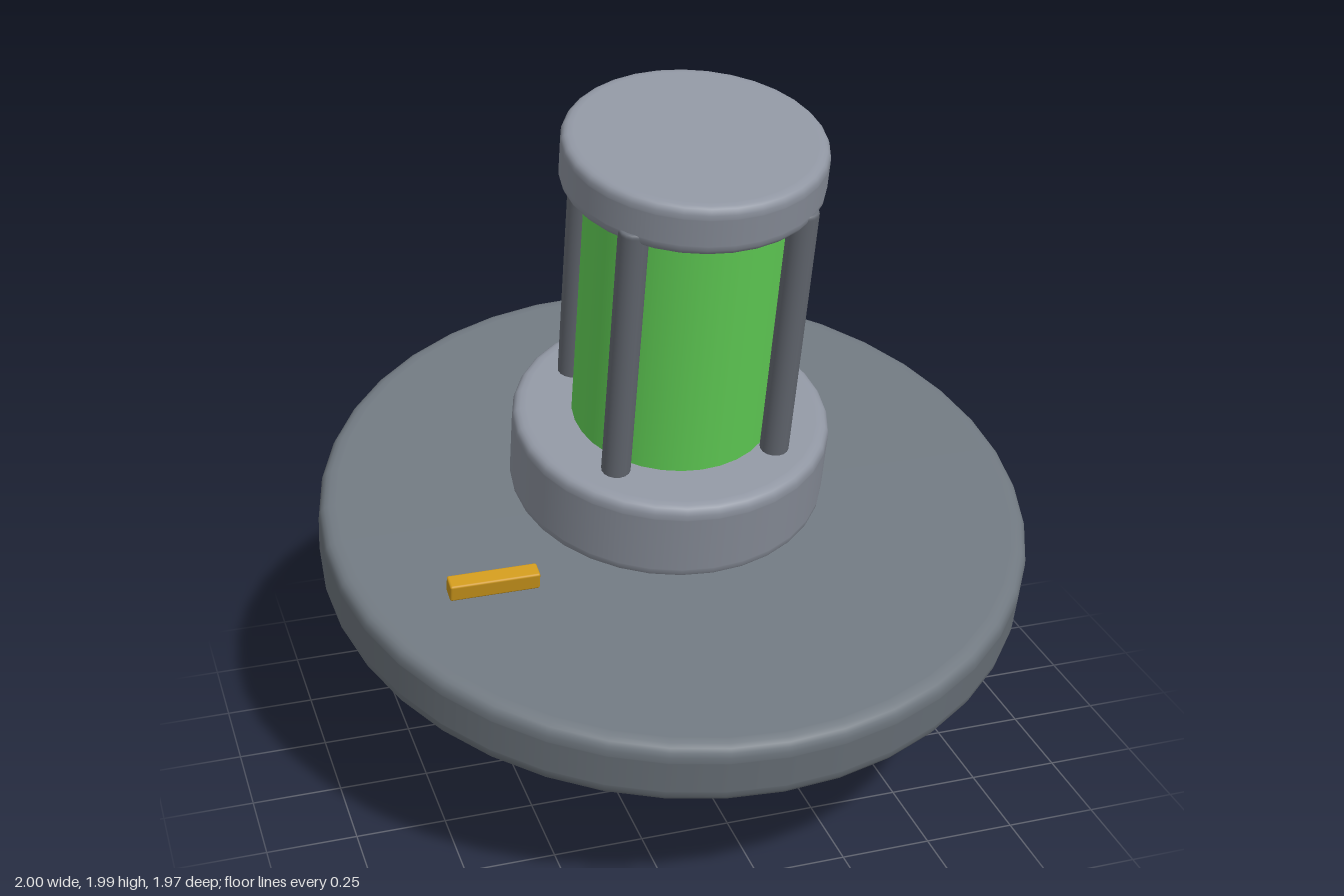
import * as THREE from 'three';
import { RoundedBoxGeometry } from 'three/addons/geometries/RoundedBoxGeometry.js';

const paint = (name, color) => {
  const m = new THREE.MeshStandardMaterial({ color });
  m.name = name;
  return m;
};

// Solid of revolution from corner points [radius, height, fillet], listed bottom to top.
function turned(corners, segments) {
  const pts = [];
  const P = corners.map(([x, y]) => new THREE.Vector2(x, y));
  corners.forEach(([, , fillet], i) => {
    if (!fillet) return pts.push(P[i]);
    const toPrev = P[i - 1].clone().sub(P[i]).normalize();
    const toNext = P[i + 1].clone().sub(P[i]).normalize();
    const at = (dir, d) => P[i].clone().addScaledVector(dir, d);
    // supporting points keep the neighbouring faces evenly shaded
    pts.push(at(toPrev, fillet + 0.003));
    const curve = new THREE.QuadraticBezierCurve(at(toPrev, fillet), P[i], at(toNext, fillet));
    pts.push(...curve.getPoints(5));
    pts.push(at(toNext, fillet + 0.003));
  });
  return new THREE.LatheGeometry(pts, segments);
}

// Straight rounded drum standing between two heights.
const drum = (radius, y0, y1, fillet, segments) =>
  turned([[0, y0], [radius, y0, fillet], [radius, y1, fillet], [0, y1]], segments);

export function createModel() {
  const model = new THREE.Group();
  model.name = 'tiltedBeacon';

  const darkHull = paint('darkHull', 0x30323a);
  const slate = paint('slate', 0x6f777f);
  const paleSteel = paint('paleSteel', 0x8f95a1);
  const strutSteel = paint('strutSteel', 0x686d76);
  const greenGlow = paint('greenGlow', 0x66d95a);
  const amber = paint('amber', 0xcf991c);

  const add = (parent, name, geometry, material, x = 0, y = 0, z = 0) => {
    const mesh = new THREE.Mesh(geometry, material);
    mesh.name = name;
    mesh.position.set(x, y, z);
    parent.add(mesh);
    return mesh;
  };

  // Everything leans forward together
  const body = new THREE.Group();
  body.name = 'body';
  body.rotation.x = THREE.MathUtils.degToRad(14);
  model.add(body);

  // Hull: cone below, wide disc above
  const hull = new THREE.Group();
  hull.name = 'hull';
  hull.position.z = -0.172;
  body.add(hull);
  add(hull, 'lowerCone',
    turned([[0, 0.033], [0.323, 0.033, 0.035], [0.95, 0.58, 0.012], [0.93, 0.6], [0, 0.6]], 48), darkHull);
  add(hull, 'disc', drum(1, 0.59, 0.787, 0.045, 40), slate);
  add(hull, 'amberMarker', new RoundedBoxGeometry(0.245, 0.05, 0.05, 2, 0.006), amber, -0.603, 0.833, 0.298);

  // Turret, set a little behind the disc centre
  const turret = new THREE.Group();
  turret.name = 'turret';
  turret.position.z = -0.272;
  body.add(turret);
  add(turret, 'collar', drum(0.445, 0.77, 1.02, 0.035, 32), paleSteel);
  add(turret, 'glowTube', new THREE.CylinderGeometry(0.28, 0.28, 0.79, 32), greenGlow, 0, 1.395, 0);
  add(turret, 'cap', drum(0.35, 1.766, 1.908, 0.03, 32), paleSteel);

  // Four struts around the tube
  for (const x of [-1, 1]) {
    for (const z of [-1, 1]) {
      add(turret, 'strut', drum(0.04, 1.0, 1.8, 0.01, 16), strutSteel, x * 0.227, 0, z * 0.227);
    }
  }
  return model;
}
